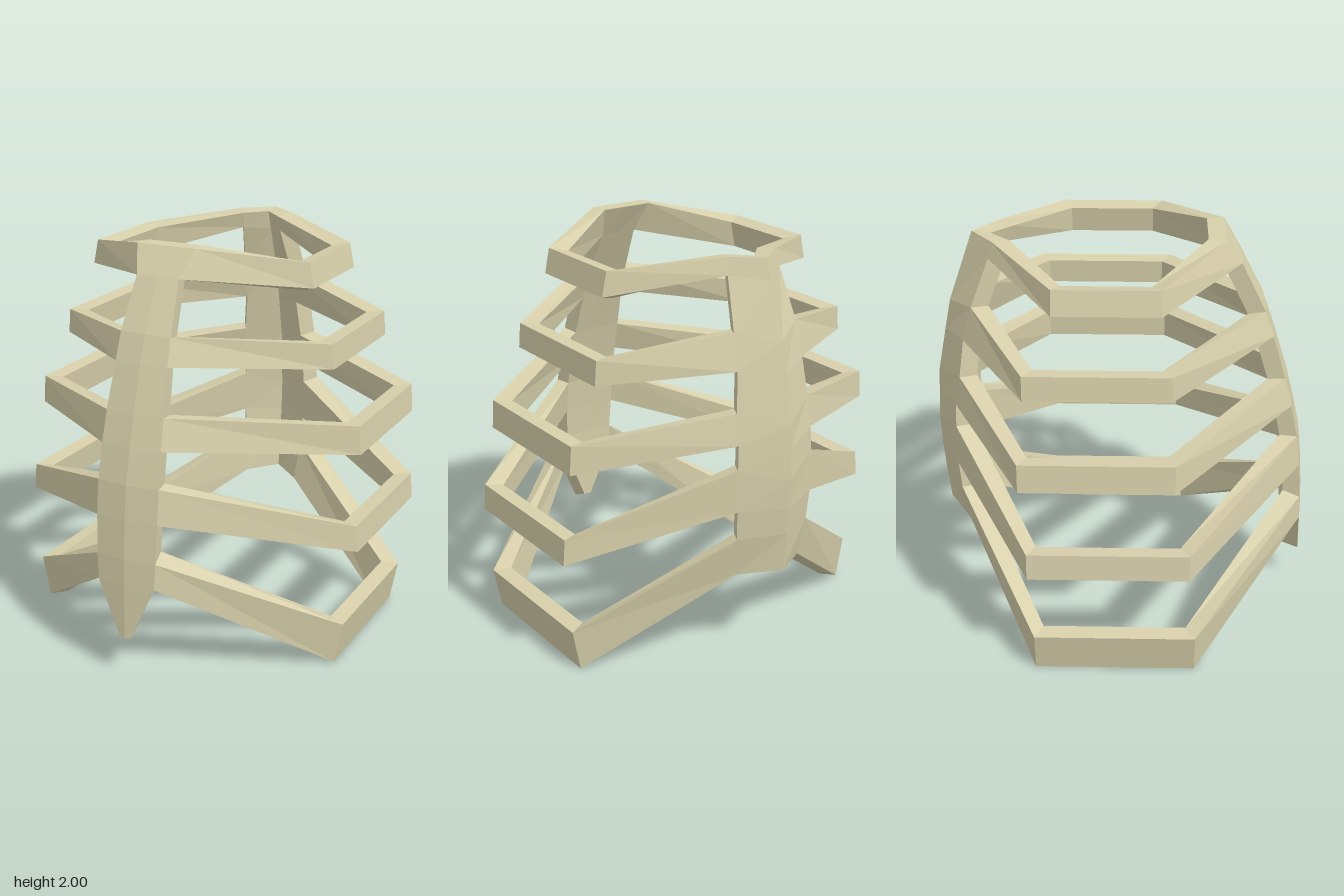
import * as THREE from 'three';

const CX = -0.02; // midline of breastbone and spine

// Breastbone levels: y, half width, edge z, ridge bulge, inner y offset
const STERNUM = [
  [2.0, 0.15, 0.49, 0, 0], [1.87, 0.11, 0.57, 0.005, -0.02],
  [1.63, 0.13, 0.69, 0.01, -0.02], [1.5, 0.135, 0.735, 0.01, -0.02],
  [1.28, 0.15, 0.80, 0.015, -0.01], [1.13, 0.155, 0.84, 0.015, -0.01],
  [0.96, 0.16, 0.875, 0.02, 0], [0.79, 0.16, 0.895, 0.02, 0],
  [0.6, 0.155, 0.91, 0.02, 0.03], [0.47, 0.15, 0.915, 0.02, 0.03],
  [0.2, 0.03, 0.935, 0.005, 0.03],
];

// Spine levels: wing y, half width, wing z, ridge y, ridge z
const SPINE = [
  [1.98, 0.14, -0.61, 1.98, -0.72], [1.9, 0.15, -0.63, 1.88, -0.755],
  [1.66, 0.18, -0.72, 1.62, -0.845], [1.49, 0.19, -0.765, 1.47, -0.875],
  [1.3, 0.21, -0.79, 1.24, -0.92], [1.15, 0.215, -0.815, 1.12, -0.927],
  [1.03, 0.22, -0.82, 0.97, -0.935], [0.82, 0.22, -0.82, 0.82, -0.93],
  [0.67, 0.21, -0.81, 0.69, -0.92], [0.47, 0.19, -0.78, 0.49, -0.90],
];

// Rib corners: top x, bottom x, top y, bottom y, front z, back z, inner y offset
const RIBS = [
  [0.57, 0.595, 1.92, 1.80, 0.19, -0.31, -0.025],
  [0.715, 0.725, 1.56, 1.44, 0.24, -0.44, -0.01],
  [0.87, 0.88, 1.19, 1.05, 0.26, -0.46, -0.01],
  [0.90, 0.91, 0.72, 0.59, 0.335, -0.43, -0.01],
  [0.86, 0.82, 0.21, 0.0, 0.37, -0.41, 0.015],
];

// Skin a list of equal rings; flip reverses the facing
function loft(rings, flip, capped) {
  const pos = [];
  const quad = (a, b, c, d, rev) => {
    const q = rev ? [d, c, b, a] : [a, b, c, d];
    for (const i of [0, 1, 2, 0, 2, 3]) pos.push(...q[i]);
  };
  const n = rings[0].length;
  for (let i = 0; i < rings.length - 1; i++) {
    const a = rings[i], b = rings[i + 1];
    for (let j = 0; j < n; j++) {
      const k = (j + 1) % n;
      quad(a[j], a[k], b[k], b[j], flip);
    }
  }
  if (capped) {
    const ends = [[rings[0], false], [rings[rings.length - 1], true]];
    for (const [r, rev] of ends) {
      quad(r[0], r[1], r[4], r[5], rev);
      quad(r[1], r[2], r[3], r[4], rev);
    }
  }
  const geo = new THREE.BufferGeometry();
  geo.setAttribute('position', new THREE.Float32BufferAttribute(pos, 3));
  geo.computeVertexNormals();
  return geo;
}

// Outer and inner edge points where ribs join, s = side
const sternumOut = (i, s) => {
  const [y, w, z] = STERNUM[i];
  return [CX + s * w, y, z];
};
const sternumIn = (i, s) => {
  const [y, w, z, , dy] = STERNUM[i];
  return [CX + s * Math.max(w - 0.015, 0.02), y + dy, z - 0.085];
};
const spineOut = (i, s) => {
  const [y, w, z] = SPINE[i];
  return [CX + s * w, y, z];
};
const spineIn = (i, s) => {
  const [y, w, z] = SPINE[i];
  return [CX + s * (w - 0.045), y - 0.01, z + 0.08];
};

export function createModel() {
  const bone = new THREE.MeshStandardMaterial({ color: 0xd8d0ab, flatShading: true });
  bone.name = 'bone';
  const model = new THREE.Group();
  model.name = 'ribcage';
  const add = (name, geo) => {
    const mesh = new THREE.Mesh(geo, bone);
    mesh.name = name;
    model.add(mesh);
  };

  // Breastbone: shallow ridged plate tapering to a tip
  add('breastbone', loft(STERNUM.map(([y, , z, bulge, dy], i) => [
    sternumOut(i, -1), [CX, y, z + bulge], sternumOut(i, 1),
    sternumIn(i, 1), [CX, y + dy, z + bulge - 0.085], sternumIn(i, -1),
  ]), true, true));

  // Spine: V-shaped section with its ridge at the back
  add('spine', loft(SPINE.map(([, , , ry, rz], i) => [
    spineOut(i, 1), [CX, ry, rz], spineOut(i, -1),
    spineIn(i, -1), [CX, ry - 0.01, rz + 0.09], spineIn(i, 1),
  ]), true, true));

  // Ribs: square-section bars, two bends each, mirrored
  RIBS.forEach(([xt, xb, yt, yb, zf, zb, dy], i) => {
    const t = 2 * i, b = t + 1;
    for (const s of [1, -1]) {
      const bend = (z, inset) => [
        [s * xt, yt, z], [s * xb, yb, z],
        [s * (xb - 0.08), yb + dy, z + inset], [s * (xt - 0.08), yt + dy * 0.6, z + inset],
      ];
      add((s > 0 ? 'leftRib' : 'rightRib') + (i + 1), loft([
        [sternumOut(t, s), sternumOut(b, s), sternumIn(b, s), sternumIn(t, s)],
        bend(zf, -0.045),
        bend(zb, 0.04),
        [spineOut(t, s), spineOut(b, s), spineIn(b, s), spineIn(t, s)],
      ], s < 0, false));
    }
  });
  return model;
}
